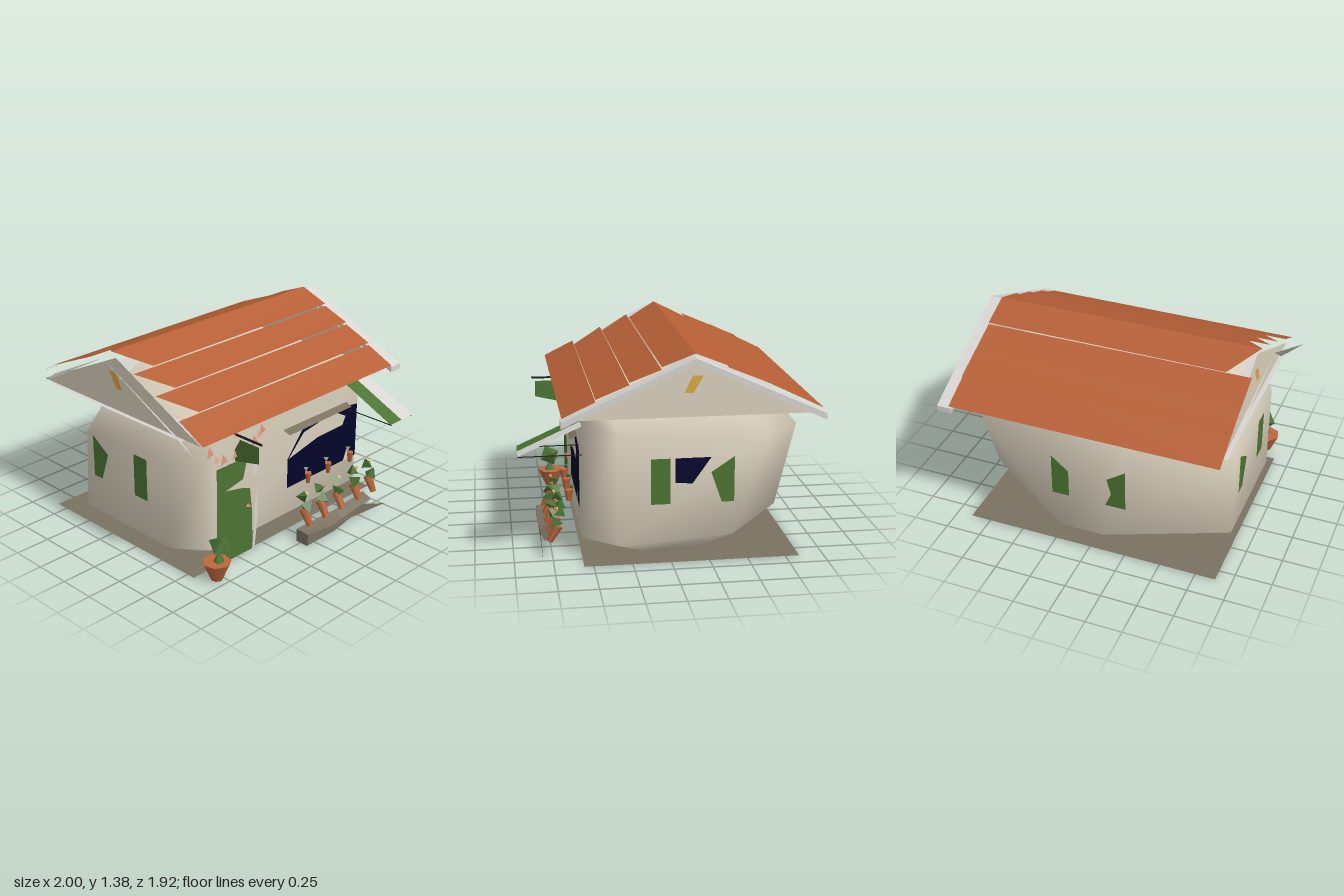
import * as THREE from 'three';

const mat = (name, color) => {
  const m = new THREE.MeshStandardMaterial({ color, side: THREE.DoubleSide });
  m.name = name;
  return m;
};

export function createModel() {
  const house = new THREE.Group();
  house.name = 'house';
  const M = {
    plaster: mat('cream plaster', 0xdad1bd),
    trim: mat('pale trim', 0xd6d5d1),
    roof: mat('clay roof', 0xb65f36),
    green: mat('green paint', 0x4c7432),
    navy: mat('dark glass', 0x04042a),
    gold: mat('gold', 0xdaa742),
    stone: mat('paving stone', 0x7a7160),
    iron: mat('black iron', 0x1c1c1a),
    clay: mat('terracotta', 0xc0683e),
    leaf: mat('leaf green', 0x4a7436),
  };

  const add = (name, geo, material, x = 0, y = 0, z = 0) => {
    const mesh = new THREE.Mesh(geo, material);
    mesh.name = name;
    mesh.position.set(x, y, z);
    house.add(mesh);
    return mesh;
  };
  const shape = (pts) => new THREE.Shape(pts.map(([a, b]) => new THREE.Vector2(a, b)));
  // flat plate facing z, points are [x, y]
  const plateZ = (name, m, z, pts) => add(name, new THREE.ShapeGeometry(shape(pts)), m, 0, 0, z);
  // flat plate facing x, points are [z, y]
  const plateX = (name, m, x, pts) =>
    add(name, new THREE.ShapeGeometry(shape(pts)).rotateY(-Math.PI / 2), m, x, 0, 0);
  // convex sheet in space, fanned from its first corner
  const sheet = (name, m, pts) => {
    const geo = new THREE.BufferGeometry();
    geo.setAttribute('position', new THREE.Float32BufferAttribute(pts.flat(), 3));
    const idx = [];
    for (let i = 1; i < pts.length - 1; i++) idx.push(0, i, i + 1);
    geo.setIndex(idx);
    geo.computeVertexNormals();
    return add(name, geo, m);
  };

  // walls: four uneven eight-sided rings, each running from front left round to left front
  const rings = [
    [[-0.66, 0.01, 0.34], [0.45, 0.01, 0.32], [0.7, 0.01, 0.12], [0.7, 0.01, -0.12],
      [0.15, 0.01, -0.42], [-0.1, 0.01, -0.42], [-0.72, 0.01, -0.28], [-0.72, 0.01, 0.25]],
    [[-0.7, 0.13, 0.56], [0.7, 0.13, 0.56], [0.885, 0.13, 0.34], [0.885, 0.18, -0.4],
      [0.22, 0.13, -0.83], [-0.1, 0.13, -0.83], [-0.885, 0.13, -0.5], [-0.885, 0.13, 0.34]],
    [[-0.7, 0.93, 0.56], [0.72, 0.93, 0.56], [0.885, 0.86, 0.34], [0.885, 0.82, -0.62],
      [0.74, 0.86, -0.83], [-0.24, 0.86, -0.83], [-0.885, 0.7, -0.47], [-0.885, 0.75, 0.34]],
    [[-0.66, 0.978, 0.55], [0.68, 0.978, 0.55], [0.74, 0.978, 0.38], [0.7, 0.978, -0.52],
      [0.5, 0.978, -0.66], [-0.2, 0.978, -0.66], [-0.72, 0.978, -0.4], [-0.74, 0.94, 0.38]],
  ];
  const idx = [];
  for (let r = 0; r < rings.length - 1; r++) {
    for (let i = 0; i < 8; i++) {
      const a = r * 8 + i, b = r * 8 + (i + 1) % 8;
      idx.push(a, b, b + 8, a, b + 8, a + 8);
    }
  }
  const top = (rings.length - 1) * 8;
  for (let i = 1; i < 7; i++) idx.push(top, top + i, top + i + 1, 0, i + 1, i);
  const walls = new THREE.BufferGeometry();
  walls.setAttribute('position', new THREE.Float32BufferAttribute(rings.flat(2), 3));
  walls.setIndex(idx);
  walls.computeVertexNormals();
  add('walls', walls, M.plaster);

  // ground slab and flat ceiling under the eaves
  sheet('ground', M.stone, [[-0.89, 0.004, 0.56], [0.89, 0.004, 0.56], [0.89, 0.004, -0.84], [-0.89, 0.004, -0.84]]);
  sheet('ceiling', M.trim, [[-0.92, 0.965, 0.5], [0.88, 0.965, 0.5], [0.88, 0.965, -0.8], [-0.92, 0.965, -0.8]]);

  // gable ends with attic windows
  for (const s of [1, -1]) {
    plateX('gable', M.plaster, s * 0.89, [[0.64, 0.965], [-0.13, 1.33], [-0.9, 0.965]]);
    plateX('atticWindow', M.gold, s * 0.897, [[-0.13, 1.23], [-0.195, 1.23], [-0.13, 1.12], [-0.075, 1.12], [-0.11, 1.2]]);
  }

  // bargeboard on the right end, slivers on the left end
  const board = new THREE.ExtrudeGeometry(
    shape([[0.7, 0.945], [0.7, 0.985], [-0.13, 1.36], [-0.96, 0.985], [-0.96, 0.945], [-0.13, 1.325]]),
    { depth: 0.1, bevelEnabled: false }).rotateY(-Math.PI / 2);
  add('rightBargeboard', board, M.trim, 1.0, 0, 0);
  sheet('frontSoffit', M.trim, [[0.84, 0.95, 0.69], [0.91, 0.95, 0.69], [0.91, 0.985, 0.62], [0.84, 0.985, 0.62]]);
  sheet('leftFrontBoard', M.trim, [[-1, 1.36, -0.13], [-1, 0.95, 0.69], [-0.9, 0.95, 0.48]]);
  sheet('leftBackBoard', M.trim, [[-1, 1.36, -0.13], [-0.92, 0.97, -0.85], [-0.92, 1.05, -0.75]]);

  // overlapping, slightly warped roof rows: [upper z, upper y, lower z, lower y, lower left x]
  const rows = [
    [0.48, 1.095, 0.69, 0.99, -0.92], [0.27, 1.195, 0.48, 1.102, -0.75],
    [0.07, 1.285, 0.27, 1.202, -0.75], [-0.14, 1.38, 0.07, 1.293, -0.75],
    [-0.14, 1.38, -0.35, 1.288, -0.75], [-0.35, 1.285, -0.76, 1.108, -0.92],
    [-0.57, 1.195, -0.96, 1.0, -0.92],
  ];
  for (const [z0, y0, z1, y1, lx] of rows) {
    sheet('roofRow', M.roof, [[lx, y1, z1], [0.915, y1, z1], [0.915, y0 - 0.008, z0], [-0.92, y0, z0]]);
  }

  // front door with its broken frame
  plateZ('door', M.green, 0.572, [[-0.69, 0.005], [-0.36, 0.005], [-0.365, 0.3], [-0.385, 0.47], [-0.47, 0.5],
    [-0.61, 0.53], [-0.45, 0.56], [-0.41, 0.71], [-0.69, 0.71]]);
  plateZ('doorFrameTop', M.trim, 0.58, [[-0.36, 0.71], [-0.33, 0.71], [-0.325, 0.55], [-0.36, 0.56]]);
  plateZ('doorFrameSide', M.trim, 0.58, [[-0.32, 0.5], [-0.32, 0.22], [-0.345, 0.01], [-0.365, 0.02], [-0.345, 0.33]]);
  add('doorKnob', new THREE.OctahedronGeometry(0.02), M.clay, -0.41, 0.35, 0.58);

  // front window, torn curtain and lintel
  plateZ('frontWindow', M.navy, 0.57, [[-0.02, 0.33], [0.7, 0.33], [0.7, 0.73], [0.5, 0.76], [0.14, 0.74], [-0.02, 0.55]]);
  plateZ('curtain', M.plaster, 0.577, [[-0.02, 0.55], [0.28, 0.615], [0.54, 0.62], [0.57, 0.68], [0.44, 0.75], [0.13, 0.7]]);
  plateZ('curtainCorner', M.plaster, 0.577, [[0.56, 0.33], [0.64, 0.33], [0.6, 0.43]]);
  sheet('lintel', M.stone, [[-0.07, 0.78, 0.57], [0.58, 0.78, 0.57], [0.58, 0.76, 0.62], [-0.06, 0.755, 0.62]]);

  // two-tone awning with thin stays
  for (const [m, x0, x1] of [[M.green, 0.58, 0.7], [M.trim, 0.7, 0.82]]) {
    sheet('awning', m, [[x0, 0.91, 0.56], [x0, 0.73, 0.96], [x1, 0.73, 0.96], [x1, 0.91, 0.56]]);
  }
  for (const x of [0.59, 0.81]) add('awningStay', new THREE.BoxGeometry(0.005, 0.005, 0.4), M.iron, x, 0.724, 0.76);

  // hanging sign over the door
  add('signBracket', new THREE.BoxGeometry(0.01, 0.012, 0.24), M.iron, -0.53, 0.91, 0.69);
  plateX('sign', M.green, -0.53, [[0.785, 0.885], [0.62, 0.885], [0.575, 0.8], [0.575, 0.72], [0.785, 0.77]]);

  // chips of clay tile above the door
  [[-0.76, 0.86], [-0.7, 0.79], [-0.64, 0.77], [-0.53, 0.91], [-0.53, 0.78], [-0.43, 0.77], [-0.36, 0.81], [-0.32, 0.84], [-0.29, 0.87]]
    .forEach(([x, y], i) => {
      const s = i % 2 ? 0.024 : 0.033;
      sheet('tileChip', M.roof, [[x - s, y - s, 0.59], [x + s * 0.6, y - s * 0.3, 0.6], [x + s * 0.2, y + s, 0.57]]);
    });

  // shutters and windows on the sides and back
  const torn = [[-0.25, 0.6], [-0.4, 0.7], [-0.4, 0.4], [-0.32, 0.4]];
  for (const s of [1, -1]) {
    plateX('sideShutter', M.green, s * 0.893, [[0.135, 0.4], [0.135, 0.7], [0.01, 0.7], [0.01, 0.4]]);
    plateX('sideShutter', M.green, s * 0.893, torn);
  }
  plateX('sideWindow', M.navy, 0.893, [[-0.02, 0.7], [-0.25, 0.7], [-0.13, 0.53], [-0.02, 0.54]]);
  plateZ('backShutter', M.green, -0.838, [[0.26, 0.7], [0.26, 0.4], [0.14, 0.4], [0.14, 0.6]]);
  plateZ('backShutter', M.green, -0.838, [[-0.13, 0.61], [-0.26, 0.7], [-0.26, 0.4], [-0.12, 0.4], [-0.16, 0.5]]);

  // low warped shelf in front of the window
  sheet('shelfTop', M.stone, [[-0.08, 0.1, 0.72], [-0.08, 0.09, 0.82], [0.3, 0.05, 0.82], [0.3, 0.1, 0.73]]);
  sheet('shelfTop', M.stone, [[0.3, 0.1, 0.73], [0.3, 0.05, 0.82], [0.62, 0.09, 0.8], [0.62, 0.12, 0.72]]);
  plateZ('shelfFront', M.stone, 0.815, [[-0.08, 0.09], [-0.08, 0.005], [0.2, 0.005], [0.38, 0.04], [0.76, 0.005], [0.5, 0.1], [0.2, 0.06]]);
  plateX('shelfEnd', M.stone, -0.08, [[0.82, 0.005], [0.72, 0.005], [0.72, 0.1], [0.82, 0.09]]);

  // large pot with a clump of leaves beside the door
  add('bigPot', new THREE.CylinderGeometry(0.095, 0.04, 0.13, 7), M.clay, -0.79, 0.066, 0.67);
  add('bigPlant', new THREE.OctahedronGeometry(0.08), M.leaf, -0.77, 0.245, 0.68).rotation.set(0.3, 0.4, 0.3);
  add('bigPlantStem', new THREE.ConeGeometry(0.04, 0.08, 5), M.leaf, -0.78, 0.165, 0.68);

  // row of small potted plants
  [0, 0.165, 0.335, 0.52, 0.685].forEach((x, i) => {
    const pot = add('pot', new THREE.CylinderGeometry(0.035, 0.022, 0.12, 5), M.clay, x, 0.165, 0.74);
    pot.rotation.set(-0.5, i, 0);
    add('plantLower', new THREE.TetrahedronGeometry(0.055), M.leaf, x, 0.24, 0.73).rotation.set(i, 0.5, i);
    add('plantUpper', new THREE.TetrahedronGeometry(0.05), M.leaf, x + 0.01, 0.3, 0.69).rotation.set(0.4, i, 1);
    add('flower', new THREE.TetrahedronGeometry(0.018), i % 2 ? M.clay : M.gold, x + 0.015, 0.335, 0.72);
  });

  // small pots on the sill
  for (const x of [0.125, 0.335, 0.57]) {
    add('sillPot', new THREE.CylinderGeometry(0.03, 0.016, 0.075, 4), M.clay, x, 0.38, 0.63);
    add('sillLeaf', new THREE.TetrahedronGeometry(0.022), M.leaf, x, 0.44, 0.61);
  }
  return house;
}
